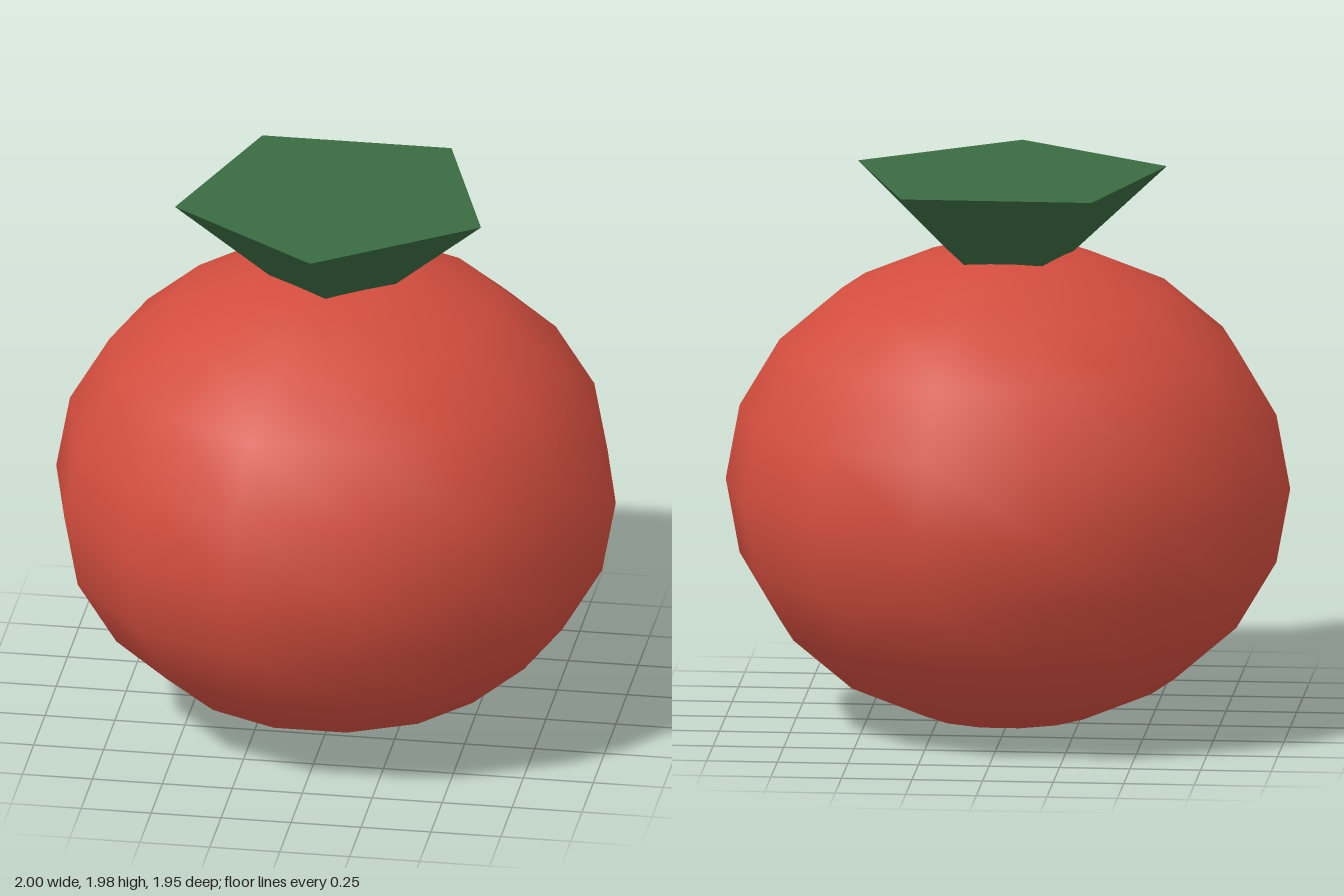
import * as THREE from 'three';

export function createModel() {
  const group = new THREE.Group();

  // Round fruit body, slightly squashed
  const body = new THREE.Mesh(
    new THREE.SphereGeometry(1, 14, 10),
    new THREE.MeshStandardMaterial({ color: 0xd24d3e })
  );
  body.name = 'fruitBody';
  body.scale.y = 0.86;
  body.position.y = 0.866;
  group.add(body);

  // Five-sided leafy crown: an upturned cone with its tip sunk in the fruit
  const height = 0.494;
  const crown = new THREE.Mesh(
    new THREE.CylinderGeometry(0.575, 0, height, 5),
    new THREE.MeshStandardMaterial({ color: 0x3a6b40 })
  );
  crown.name = 'leafCrown';
  crown.position.y = 1.984 - height / 2;
  group.add(crown);

  return group;
}
